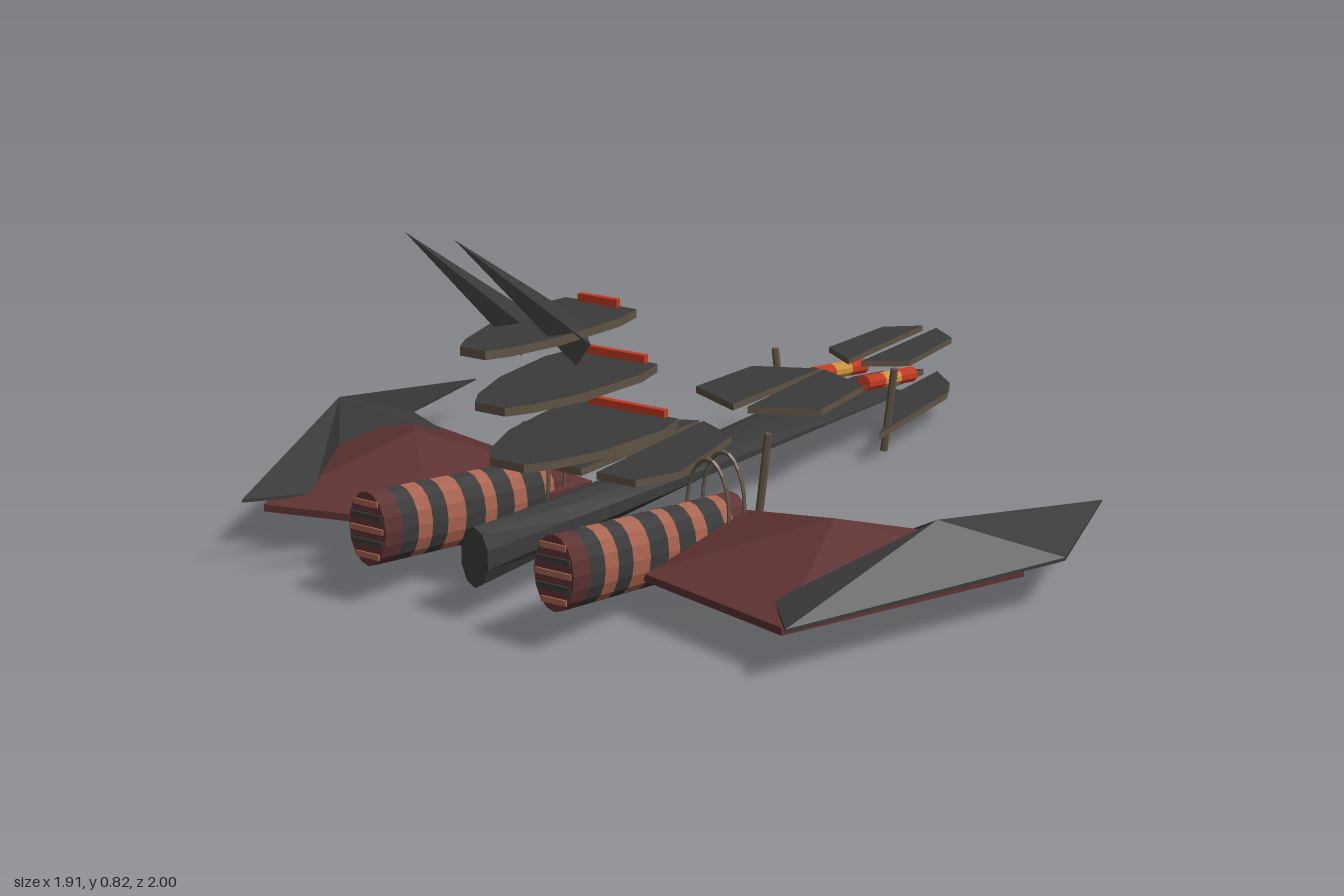
import * as THREE from 'three';

const mat = (name, color, double = false) => {
  const m = new THREE.MeshStandardMaterial({ color, flatShading: true });
  m.name = name;
  if (double) m.side = THREE.DoubleSide;
  return m;
};

export function createModel() {
  const dark = mat('charcoal armour', 0x3b3b3b, true);
  const maroon = mat('maroon membrane', 0x5f3333, true);
  const salmon = mat('salmon bands', 0xa9644f);
  const brown = mat('brown trim', 0x5f5244);
  const red = mat('glowing red', 0xc23a20);
  const yellow = mat('amber', 0xc9923c);
  const root = new THREE.Group();

  const add = (name, geo, material, x = 0, y = 0, z = 0) => {
    const m = new THREE.Mesh(geo, material);
    m.name = name;
    m.position.set(x, y, z);
    root.add(m);
    return m;
  };

  // Flat slab from an outline of [x, z] points, with brown edges
  const slab = (name, pts, y, thick) => {
    const shape = new THREE.Shape(pts.map(([x, z]) => new THREE.Vector2(x, -z)));
    const geo = new THREE.ExtrudeGeometry(shape, { depth: thick, bevelEnabled: false });
    geo.rotateX(-Math.PI / 2);
    return add(name, geo, [dark, brown], 0, y, 0);
  };
  const flip = (pts, s) => pts.map(([x, ...rest]) => [x * s, ...rest]);

  // Faceted roof: an apex fanned to an outline, and a closing floor
  const roof = (name, outline, apex, floorY, material, s) => {
    const pos = [];
    const tri = (...p) => {
      const q = s > 0 ? p : [p[0], p[2], p[1]];
      q.forEach(([x, y, z]) => pos.push(x * s, y, z));
    };
    const n = outline.length;
    const floor = outline.map(([x, , z]) => [x, floorY, z]);
    const centre = [apex[0], floorY, apex[2]];
    for (let i = 0; i < n; i++) {
      const j = (i + 1) % n;
      tri(apex, outline[i], outline[j]);
      tri(centre, floor[j], floor[i]);
      tri(outline[i], floor[i], floor[j]);
      tri(outline[i], floor[j], outline[j]);
    }
    const geo = new THREE.BufferGeometry();
    geo.setAttribute('position', new THREE.Float32BufferAttribute(pos, 3));
    geo.computeVertexNormals();
    return add(name, geo, material);
  };

  // Fuselage: tall and narrow at the front, wide and flat at the rear
  const body = new THREE.CylinderGeometry(1, 1, 1, 10, 6);
  body.rotateX(Math.PI / 2);
  const bp = body.attributes.position;
  for (let i = 0; i < bp.count; i++) {
    const t = 0.5 - bp.getZ(i);
    const h = 0.004 + 0.061 * Math.pow(1 - t, 1.4);
    bp.setXYZ(i, bp.getX(i) * (0.035 + 0.077 * t),
      0.14 - 0.025 * t + bp.getY(i) * h, 0.89 - 1.57 * t);
  }
  body.computeVertexNormals();
  add('fuselage', body, dark);

  // Stacked shield tiers with glowing rear strips
  const tiers = [
    { y: 0.295, w: 0.145, z: 0.35, strip: 0.1 },
    { y: 0.425, w: 0.125, z: 0.40, strip: 0.085 },
    { y: 0.552, w: 0.105, z: 0.45, strip: 0.05 },
  ];
  tiers.forEach(({ y, w, z, strip }) => {
    const half = [[w * 0.87, z], [w, z + 0.08], [w * 0.86, z + 0.26], [w * 0.55, z + 0.38], [w * 0.3, z + 0.43]];
    slab('shieldTier', [...half, ...flip(half, -1).reverse()], y, 0.018);
    add('tierStrip', new THREE.BoxGeometry(strip * 2, 0.02, 0.014), red, 0, y + 0.025, z + 0.007);
    for (const k of [-0.5, 0, 0.5])
      add('tierLight', new THREE.BoxGeometry(strip * 0.25, 0.012, 0.004), yellow, k * strip, y + 0.024, z - 0.001);
  });

  // Striped engine bands from rear to front
  const bands = [0.31, 0.37, 0.405, 0.47, 0.515, 0.575, 0.615, 0.68, 0.74, 0.79, 0.835, 0.885, 0.94];
  const engineY = (z) => 0.08 + (z - 0.31) * 0.143;
  const oval = (z0, z1) => {
    const geo = new THREE.CylinderGeometry(1, 1, 1, 16);
    geo.rotateX(Math.PI / 2);
    const p = geo.attributes.position;
    for (let i = 0; i < p.count; i++) {
      const z = p.getZ(i) > 0 ? z1 : z0;
      p.setXYZ(i, p.getX(i) * 0.048, engineY(z) + p.getY(i) * 0.08, z);
    }
    geo.computeVertexNormals();
    return geo;
  };

  for (const s of [1, -1]) {
    // Split back plates, upper and lower head plates
    slab('neckPlate', flip([[0.005, -0.455], [0.155, -0.385], [0.172, -0.165], [0.02, -0.09]], s), 0.195, 0.016);
    slab('backPlate', flip([[0.005, 0.07], [0.12, 0.13], [0.165, 0.4], [0.12, 0.5], [0.02, 0.5]], s), 0.2, 0.016);
    slab('headPlate', flip([[0.02, -0.99], [0.1, -0.925], [0.115, -0.68], [0.018, -0.61]], s), 0.182, 0.014);
    slab('jawPlate', flip([[0.02, -1], [0.1, -0.92], [0.135, -0.84], [0.165, -0.445], [0.11, -0.6], [0.03, -0.72]], s), 0.062, 0.016);

    // Head cannon, red with an amber middle
    const cannon = new THREE.Group();
    cannon.name = 'headCannon';
    [[-0.08, 0.08, red], [0, 0.08, yellow], [0.08, 0.08, red]].forEach(([z, len, m]) => {
      const seg = new THREE.Mesh(new THREE.CylinderGeometry(0.02, 0.02, len, 10), m);
      seg.name = 'cannonSegment';
      seg.rotation.x = Math.PI / 2;
      seg.position.z = z;
      cannon.add(seg);
    });
    cannon.position.set(0.07 * s, 0.15, -0.65);
    cannon.rotation.x = -0.14;
    root.add(cannon);

    // Long crest spike
    const spike = new THREE.ConeGeometry(1, 1, 4, 1);
    const sp = spike.attributes.position;
    for (let i = 0; i < sp.count; i++) {
      if (sp.getY(i) > 0) sp.setXYZ(i, 0.06 * s, 0.82, 1);
      else sp.setXYZ(i, 0.07 * s + sp.getX(i) * 0.03, 0.535 - sp.getZ(i) * 0.047, 0.625 - sp.getZ(i) * -0.01);
    }
    spike.computeVertexNormals();
    add('crestSpike', spike, dark);

    // Wing membrane and armoured wing edge
    roof('wingMembrane', [[0.16, 0.1, 0.27], [0.18, 0.1, 0.38], [0.27, 0.1, 0.69], [0.66, 0.1, 0.79],
      [0.9, 0.1, 0.25], [0.82, 0.1, 0.11]], [0.55, 0.188, 0.41], 0.084, maroon, s);
    roof('wingArmour', [[0.86, 0.112, -0.2], [0.81, 0.115, 0.11], [0.61, 0.115, 0.21], [0.775, 0.115, 0.41],
      [0.59, 0.115, 0.705], [0.69, 0.115, 0.825], [0.957, 0.115, 0.18]], [0.78, 0.226, 0.4], 0.108, dark, s);

    // Engine pod
    for (let i = 0; i < bands.length - 1; i++) {
      const end = i === 0 || i === bands.length - 2;
      add('engineBand', oval(bands[i], bands[i + 1]), end ? maroon : i % 2 ? salmon : dark, 0.235 * s);
    }
    // Grille slats on both ends
    for (const z of [0.941, 0.309])
      for (let k = -2; k <= 2; k++) {
        const w = 0.085 * Math.sqrt(1 - (k * 0.028 / 0.08) ** 2);
        add('engineSlat', new THREE.BoxGeometry(w, 0.012, 0.006), k % 2 ? dark : salmon, 0.235 * s, engineY(z) + k * 0.028, z);
      }
    // Mounting hoops
    for (const z of [0.34, 0.4]) {
      const hoop = add('engineHoop', new THREE.TorusGeometry(0.115, 0.006, 6, 24), brown, 0.235 * s, 0.14, z);
      hoop.scale.x = 0.46;
    }

    // Slanted posts
    for (const [x, z] of [[0.18, 0.095], [0.155, -0.51]]) {
      const post = add('post', new THREE.CylinderGeometry(0.009, 0.009, 0.21, 6), brown, x * s, 0.12, z);
      post.rotation.z = -0.12 * s;
    }
  }
  return root;
}
